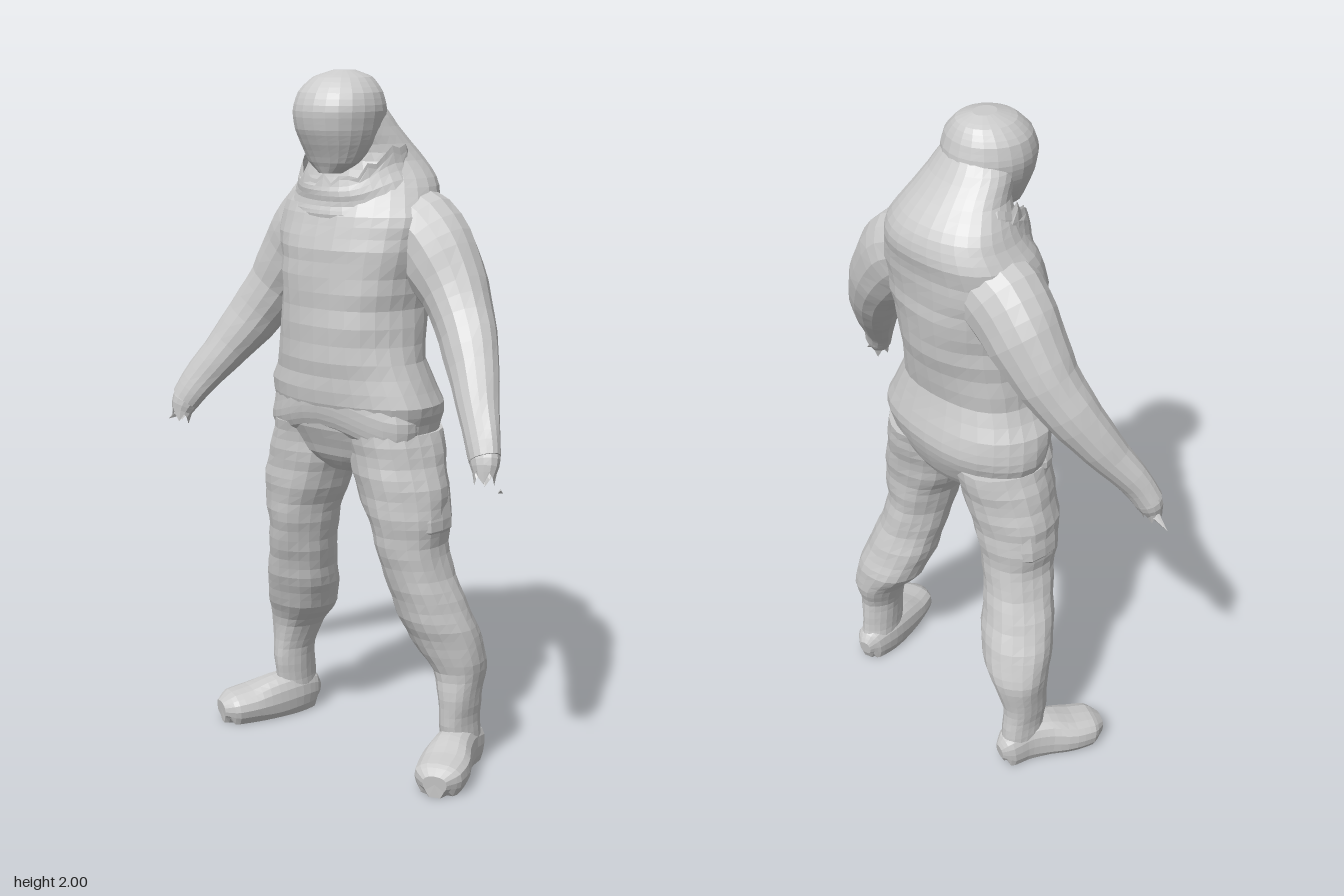
import * as THREE from 'three';

const material = new THREE.MeshStandardMaterial({ color: 0xcccccc, flatShading: true, side: THREE.DoubleSide });
const UP = new THREE.Vector3(0, 1, 0);

// Cross-sections [x, y, z, radiusA, radiusB] are splined and joined to a skin.
// ref: direction of radiusA. along: rings stand square to the path, else they lie level.
function loft(name, sections, o = {}) {
  const { ref = new THREE.Vector3(1, 0, 0), along = false, sides = 20, steps = 3, wrinkle = 0.025,
    power = 1, capEnd = true, deform } = o;
  const path = new THREE.CatmullRomCurve3(sections.map(s => new THREE.Vector3(s[0], s[1], s[2])));
  const radii = new THREE.CatmullRomCurve3(sections.map(s => new THREE.Vector3(s[3], s[4], 0)));
  const rows = (sections.length - 1) * steps;
  const pos = [], idx = [];
  const put = (p, i, j) => {
    if (deform) deform(p, i / rows, j);
    pos.push(p.x, p.y, p.z);
  };
  for (let i = 0; i <= rows; i++) {
    const c = path.getPoint(i / rows), r = radii.getPoint(i / rows);
    const t = along ? path.getTangent(i / rows) : UP;
    const u = ref.clone().addScaledVector(t, -ref.dot(t)).normalize();
    const v = t.clone().cross(u);
    for (let j = 0; j < sides; j++) {
      const a = j / sides * Math.PI * 2, ca = Math.cos(a), sa = Math.sin(a);
      const w = 1 + wrinkle * Math.sin(3 * a + c.y * 23 + c.x * 5) * Math.cos(2 * a - c.y * 37);
      const p = c.clone()
        .addScaledVector(u, Math.sign(ca) * Math.abs(ca) ** power * r.x * w)
        .addScaledVector(v, Math.sign(sa) * Math.abs(sa) ** power * r.y * w);
      put(p, i, j);
    }
  }
  for (let i = 0; i < rows; i++) for (let j = 0; j < sides; j++) {
    const a = i * sides + j, b = i * sides + (j + 1) % sides;
    idx.push(a, b, b + sides, a, b + sides, a + sides);
  }
  // closing fans
  const first = pos.length / 3, last = rows * sides;
  put(path.getPoint(0), 0, 0);
  put(path.getPoint(1), rows, 0);
  for (let j = 0; j < sides; j++) {
    const k = (j + 1) % sides;
    if (!o.openStart) idx.push(first, k, j);
    if (capEnd) idx.push(first + 1, last + j, last + k);
  }
  const g = new THREE.BufferGeometry();
  g.setAttribute('position', new THREE.Float32BufferAttribute(pos, 3));
  g.setIndex(idx);
  g.computeVertexNormals();
  const mesh = new THREE.Mesh(g, material);
  mesh.name = name;
  return mesh;
}

export function createModel() {
  const figure = new THREE.Group();
  figure.name = 'standingFigure';

  // jacket, seat and the hood sloping up into the back of the head
  figure.add(loft('jacket', [
    [0, 0.87, 0.01, 0.07, 0.08],
    [0, 0.92, 0.005, 0.19, 0.125],
    [0, 1.00, 0, 0.265, 0.16],
    [0, 1.08, 0.005, 0.28, 0.175],
    [0, 1.20, 0.025, 0.232, 0.165],
    [0, 1.35, 0.012, 0.22, 0.18],
    [0, 1.48, 0.002, 0.235, 0.187],
    [0, 1.58, -0.01, 0.25, 0.18],
    [0, 1.66, -0.035, 0.23, 0.168],
    [0, 1.73, -0.05, 0.19, 0.142],
    [0, 1.80, -0.02, 0.145, 0.11],
    [0, 1.87, 0.025, 0.118, 0.095],
    [0, 1.93, 0.05, 0.08, 0.08],
  ], { sides: 28, power: 0.92 }));

  // head with a covered brow and a receding chin
  figure.add(loft('head', [
    [0, 1.72, 0.115, 0.035, 0.03],
    [0, 1.75, 0.10, 0.08, 0.06],
    [0, 1.80, 0.085, 0.108, 0.10],
    [0, 1.84, 0.08, 0.122, 0.122],
    [0, 1.89, 0.078, 0.13, 0.132],
    [0, 1.94, 0.074, 0.118, 0.118],
    [0, 1.98, 0.066, 0.08, 0.085],
    [0, 1.998, 0.06, 0.03, 0.035],
  ], { sides: 22, wrinkle: 0.01 }));

  // ragged open collar, low at the throat and high beside the jaw
  figure.add(loft('collar', [
    [0, 1.60, -0.01, 0.225, 0.17],
    [0, 1.66, -0.005, 0.205, 0.163],
    [0, 1.73, 0, 0.172, 0.155],
    [0, 1.79, 0.01, 0.158, 0.14],
  ], {
    sides: 36, openStart: true, capEnd: false, wrinkle: 0.04,
    deform: (p, t, j) => {
      const front = THREE.MathUtils.smoothstep(p.z, 0.02, 0.16);
      const rag = t > 0.8 ? 0.014 * Math.sin(j * 2.4) : 0;
      p.y += t * (-0.085 * front) + rag;
      if (p.z < -0.03) p.z = -0.03 + (p.z + 0.03) * 0.7;
    },
  }));

  for (const s of [1, -1]) {
    const side = s > 0 ? 'left' : 'right';
    const mirror = list => list.map(([x, ...rest]) => [s * x, ...rest]);

    // sleeve from shoulder to wrist
    figure.add(loft(side + 'Arm', mirror([
      [0.10, 1.60, -0.04, 0.11, 0.09],
      [0.19, 1.555, -0.045, 0.115, 0.125],
      [0.27, 1.47, -0.045, 0.105, 0.115],
      [0.345, 1.365, -0.03, 0.088, 0.092],
      [0.42, 1.25, 0.015, 0.072, 0.082],
      [0.49, 1.14, 0.075, 0.056, 0.064],
      [0.545, 1.055, 0.125, 0.042, 0.055],
      [0.572, 1.005, 0.145, 0.038, 0.048],
    ]), { ref: new THREE.Vector3(0, 0, 1), along: true, sides: 16 }));

    // broken-off hand
    figure.add(loft(side + 'Hand', mirror([
      [0.55, 1.05, 0.125, 0.036, 0.046],
      [0.572, 1.00, 0.145, 0.037, 0.045],
      [0.582, 0.955, 0.16, 0.024, 0.028],
    ]), {
      ref: new THREE.Vector3(0, 0, 1), along: true, sides: 12, capEnd: false,
      deform: (p, t, j) => { if (t > 0.9) p.y += 0.02 * Math.sin(j * 2.1); },
    }));

    // trouser leg
    figure.add(loft(side + 'Leg', mirror([
      [0.328, 0.06, -0.085, 0.05, 0.072],
      [0.33, 0.14, -0.075, 0.048, 0.075],
      [0.33, 0.22, -0.072, 0.055, 0.075],
      [0.318, 0.30, -0.082, 0.076, 0.086],
      [0.285, 0.38, -0.066, 0.108, 0.102],
      [0.262, 0.46, -0.04, 0.112, 0.106],
      [0.238, 0.55, -0.015, 0.104, 0.104],
      [0.213, 0.65, 0.005, 0.10, 0.11],
      [0.202, 0.74, 0.01, 0.116, 0.12],
      [0.183, 0.82, 0.01, 0.135, 0.128],
      [0.158, 0.91, 0.005, 0.138, 0.138],
      [0.14, 1.00, 0, 0.13, 0.15],
    ]), { wrinkle: 0.035 }));

    // thigh pocket
    figure.add(loft(side + 'Pocket', mirror([
      [0.25, 0.70, 0.005, 0.04, 0.05],
      [0.264, 0.73, 0.005, 0.058, 0.075],
      [0.252, 0.83, 0.005, 0.058, 0.08],
      [0.238, 0.92, 0.005, 0.045, 0.07],
    ]), { sides: 12, power: 0.75 }));

    // boot with a flat sole, toes turned out
    figure.add(loft(side + 'Boot', mirror([
      [0.318, 0.05, -0.163, 0.025, 0.02],
      [0.325, 0.055, -0.135, 0.058, 0.045],
      [0.332, 0.06, -0.07, 0.07, 0.056],
      [0.355, 0.055, 0.0, 0.07, 0.066],
      [0.388, 0.05, 0.07, 0.052, 0.076],
      [0.41, 0.046, 0.125, 0.046, 0.07],
      [0.425, 0.042, 0.16, 0.026, 0.035],
    ]), {
      ref: UP, along: true, sides: 16, power: 0.8,
      deform: p => { p.y = p.y < 0.018 ? 0.002 : p.y; },
    }));
  }

  // thumb stub on one hand, loose scrap beside the other
  const thumb = new THREE.Mesh(new THREE.ConeGeometry(0.022, 0.09, 6), material);
  thumb.name = 'rightThumb';
  thumb.position.set(-0.607, 0.955, 0.15);
  thumb.rotation.z = 2.1;
  const scrap = new THREE.Mesh(new THREE.TetrahedronGeometry(0.009), material);
  scrap.name = 'leftFingerScrap';
  scrap.position.set(0.636, 0.93, 0.16);
  figure.add(thumb, scrap);

  // front flap at the jacket hem
  figure.add(loft('jacketHem', [
    [0, 0.955, 0.05, 0.215, 0.09],
    [0, 0.985, 0.055, 0.25, 0.108],
    [0, 1.04, 0.055, 0.265, 0.125],
    [0, 1.12, 0.05, 0.24, 0.128],
  ], { sides: 28, deform: p => { p.y += 0.03 * Math.cos(p.x * 11); } }));

  return figure;
}
